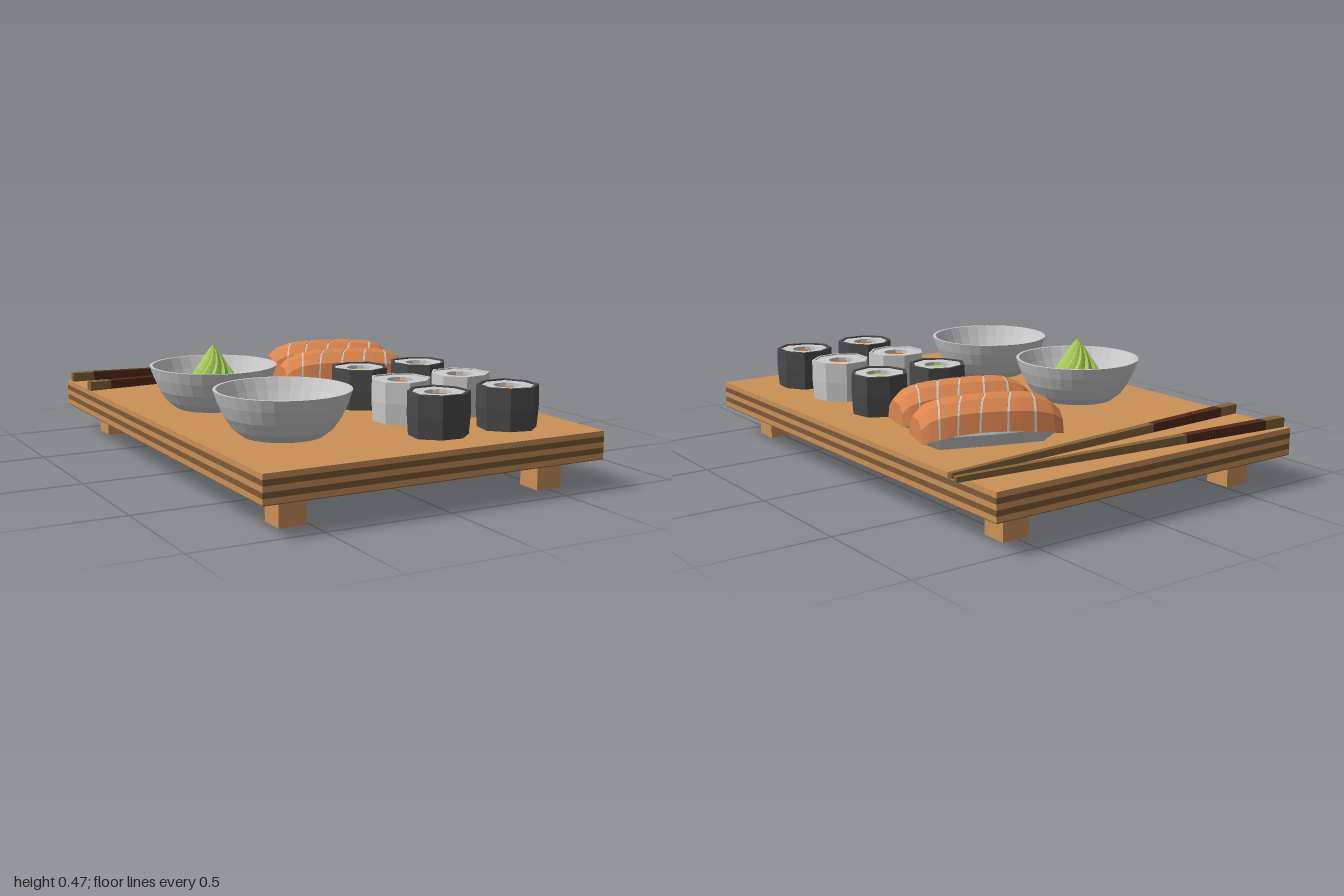
import * as THREE from 'three';

const GREY = 0xcccccc, WOOD = 0xcb9158, DARK_WOOD = 0x7d5a38, NORI = 0x4a4a4a;
const SALMON = 0xdc8650, ORANGE = 0xcc6a20, GREEN = 0xa9cf5c;
const TOP = 0.225; // upper face of the board

const mat = (color) => new THREE.MeshStandardMaterial({ color, flatShading: true });

function add(parent, name, geometry, color, x = 0, y = 0, z = 0) {
  const mesh = new THREE.Mesh(geometry, mat(color));
  mesh.name = name;
  mesh.position.set(x, y, z);
  parent.add(mesh);
  return mesh;
}

function subgroup(parent, name, x, y, z, turn = 0) {
  const g = new THREE.Group();
  g.name = name;
  g.position.set(x, y, z);
  g.rotation.y = turn;
  parent.add(g);
  return g;
}

// Skin closed rings of Vector3 (counterclockwise about the sweep direction), with end caps
function loft(rings) {
  const p = [];
  const tri = (...v) => v.forEach((q) => p.push(q.x, q.y, q.z));
  const n = rings[0].length, last = rings.length - 1;
  const mid = (ring) => ring.reduce((s, v) => s.add(v), new THREE.Vector3()).divideScalar(n);
  const c0 = mid(rings[0]), c1 = mid(rings[last]);
  for (let j = 0; j < n; j++) {
    const k = (j + 1) % n;
    for (let i = 0; i < last; i++) {
      const a = rings[i], b = rings[i + 1];
      tri(a[j], a[k], b[k]);
      tri(a[j], b[k], b[j]);
    }
    tri(c0, rings[0][k], rings[0][j]);
    tri(c1, rings[last][j], rings[last][k]);
  }
  const g = new THREE.BufferGeometry();
  g.setAttribute('position', new THREE.Float32BufferAttribute(p, 3));
  g.computeVertexNormals();
  return g;
}

// Laminated board on four feet
function board(root) {
  const g = subgroup(root, 'board', -0.03, 0, 0);
  const layer = 0.021;
  for (let i = 0; i < 5; i++) {
    add(g, 'boardLayer', new THREE.BoxGeometry(1.4, layer, 2), i % 2 ? DARK_WOOD : WOOD, 0, 0.12 + layer * (i + 0.5), 0);
  }
  add(g, 'boardUnderside', new THREE.BoxGeometry(1.4, 0.003, 2), DARK_WOOD, 0, 0.1185, 0);
  for (const x of [-0.565, 0.508]) for (const z of [-0.84, 0.84]) {
    add(root, 'foot', new THREE.BoxGeometry(0.108, 0.12, 0.104), WOOD, x, 0.06, z);
  }
}

function bowl(root, name, x, z) {
  const g = subgroup(root, name, x, TOP, z);
  const profile = [
    [0, 0], [0.15, 0], [0.188, 0.03], [0.218, 0.075], [0.24, 0.125], [0.255, 0.17],
    [0.243, 0.17], [0.222, 0.125], [0.198, 0.08], [0.165, 0.04], [0.13, 0.022], [0, 0.02],
  ].map(([r, y]) => new THREE.Vector2(r, y));
  add(g, 'bowlShell', new THREE.LatheGeometry(profile, 32), GREY);
  return g;
}

// Twisted, ridged cone of paste
function wasabi(parent) {
  const rings = [];
  const ridges = 11, n = ridges * 4, steps = 12;
  for (let i = 0; i <= steps; i++) {
    const t = i / steps, r = 0.15 * Math.pow(1 - t, 0.9) + 0.003;
    rings.push(Array.from({ length: n }, (_, j) => {
      const a = (j / n) * Math.PI * 2 + t * 1.5;
      const rr = r * (1 - 0.045 * (j % 4));
      return new THREE.Vector3(Math.sin(a) * rr, 0.02 + 0.228 * t, Math.cos(a) * rr);
    }));
  }
  add(parent, 'wasabi', loft(rings), GREEN);
}

// Irregular eight-sided roll: wrapper, recessed rice ring and filling
function roll(root, x, z, wrap, fill, seed) {
  const g = subgroup(root, 'makiRoll', x, TOP, z, seed * 0.7);
  const n = 8;
  const ring = (r, y) => Array.from({ length: n }, (_, j) => {
    const a = (j / n) * Math.PI * 2;
    const rr = r * (1 + 0.045 * Math.sin(seed * 3.1 + j * 2.4));
    return new THREE.Vector3(Math.sin(a) * rr, y, Math.cos(a) * rr);
  });
  const rim = wrap === NORI ? 0.103 : 0.108;
  add(g, 'wrapper', loft([
    ring(0.112, 0), ring(0.118, 0.08), ring(0.117, 0.162), ring(rim, 0.162), ring(rim, 0.12),
  ]), wrap);
  const rice = new THREE.Shape(ring(rim, 0).map((v) => new THREE.Vector2(v.x, -v.z)));
  const hole = new THREE.Path();
  hole.absarc(0, 0, 0.052, 0, Math.PI * 2, true);
  rice.holes.push(hole);
  const riceGeometry = new THREE.ExtrudeGeometry(rice, { depth: 0.06, bevelEnabled: false, curveSegments: 6 });
  add(g, 'rice', riceGeometry.rotateX(-Math.PI / 2), GREY, 0, 0.097, 0);
  add(g, 'filling', new THREE.CylinderGeometry(0.052, 0.052, 0.1, 12), fill, 0, 0.093, 0);
}

// Rice block with a draped slice divided by pale slanted lines
function nigiri(root, x, z, turn) {
  const g = subgroup(root, 'nigiri', x, TOP, z, turn);
  const outline = [[0.45, 1], [0.85, 0.65], [1, 0], [-1, 0], [-0.85, 0.65], [-0.45, 1]];
  const section = (s, shrink = 1) => {
    const u = s / 0.27, u4 = u ** 4;
    const w = (0.115 - 0.027 * u4) * shrink;
    const low = 0.065 - 0.035 * u * u, high = (0.172 - 0.018 * u * u - 0.045 * u4 * u4) * shrink;
    return outline.map(([a, b]) =>
      new THREE.Vector3(s - a * w * 0.45 * (1 - u * u), low + b * (high - low), a * w));
  };
  const cuts = [-0.27, -0.18, -0.09, 0.01, 0.1, 0.185, 0.27];
  for (let i = 0; i < cuts.length - 1; i++) {
    const a = cuts[i], b = cuts[i + 1], end = i === cuts.length - 2;
    const stops = [a + (i ? 0.004 : 0), i ? (a + b) / 2 : -0.24, ...(end ? [0.24] : []), b - (end ? 0 : 0.004)];
    add(g, 'fishSlice', loft(stops.map((s) => section(s))), SALMON);
    if (i) add(g, 'fishLine', loft([section(a - 0.005, 0.985), section(a + 0.005, 0.985)]), GREY);
  }
  const base = [[1, 0.095], [1.2, 0.05], [0.85, 0], [-0.85, 0], [-1.2, 0.05], [-1, 0.095]];
  const rice = [[-0.25, 0.6], [-0.2, 0.9], [0, 1], [0.2, 0.9], [0.25, 0.6]].map(([s, k]) =>
    base.map(([a, y]) => new THREE.Vector3(s, k < 0.7 ? 0.02 + y * 0.55 : y, a * 0.083 * k)));
  add(g, 'riceBlock', loft(rice), GREY);
}

// Tapered square stick with a dark grip
function chopstick(root, x0, z0, x1, z1) {
  const length = Math.hypot(x1 - x0, z1 - z0);
  const g = subgroup(root, 'chopstick', x0, TOP, z0, -Math.atan2(z1 - z0, x1 - x0));
  const square = (t) => {
    const h = 0.019 - 0.009 * t;
    return [[1, -1], [1, 1], [-1, 1], [-1, -1]].map(([y, z]) => new THREE.Vector3(t * length, 0.019 + 0.001 * t + y * h - 0.005 * t, z * h));
  };
  [['stickEnd', 0, 0.065, 0x86643a], ['stickGrip', 0.065, 0.33, 0x532a1a], ['stickShaft', 0.33, 1, 0x86643a]]
    .forEach(([name, a, b, color]) => add(g, name, loft([square(a), square(b)]), color));
}

export function createModel() {
  const root = new THREE.Group();
  root.name = 'sushiBoard';
  board(root);

  wasabi(bowl(root, 'wasabiBowl', -0.4, -0.125));
  const sauceBowl = bowl(root, 'sauceBowl', -0.4, 0.495);
  add(sauceBowl, 'soySauce', new THREE.CylinderGeometry(0.192, 0.165, 0.03, 32), 0x622c1f, 0, 0.06, 0);

  roll(root, 0.12, 0.15, NORI, GREEN, 1);
  roll(root, 0.4, 0.15, NORI, GREEN, 2);
  roll(root, 0.115, 0.47, GREY, ORANGE, 3);
  roll(root, 0.39, 0.465, GREY, ORANGE, 4);
  roll(root, 0.095, 0.76, NORI, ORANGE, 5);
  roll(root, 0.4, 0.765, NORI, ORANGE, 6);

  nigiri(root, 0.325, -0.475, -0.31);
  nigiri(root, 0.245, -0.205, -0.23);

  chopstick(root, -0.72, -0.96, 0.725, -0.845);
  chopstick(root, -0.73, -0.7, 0.715, -0.8);
  return root;
}
